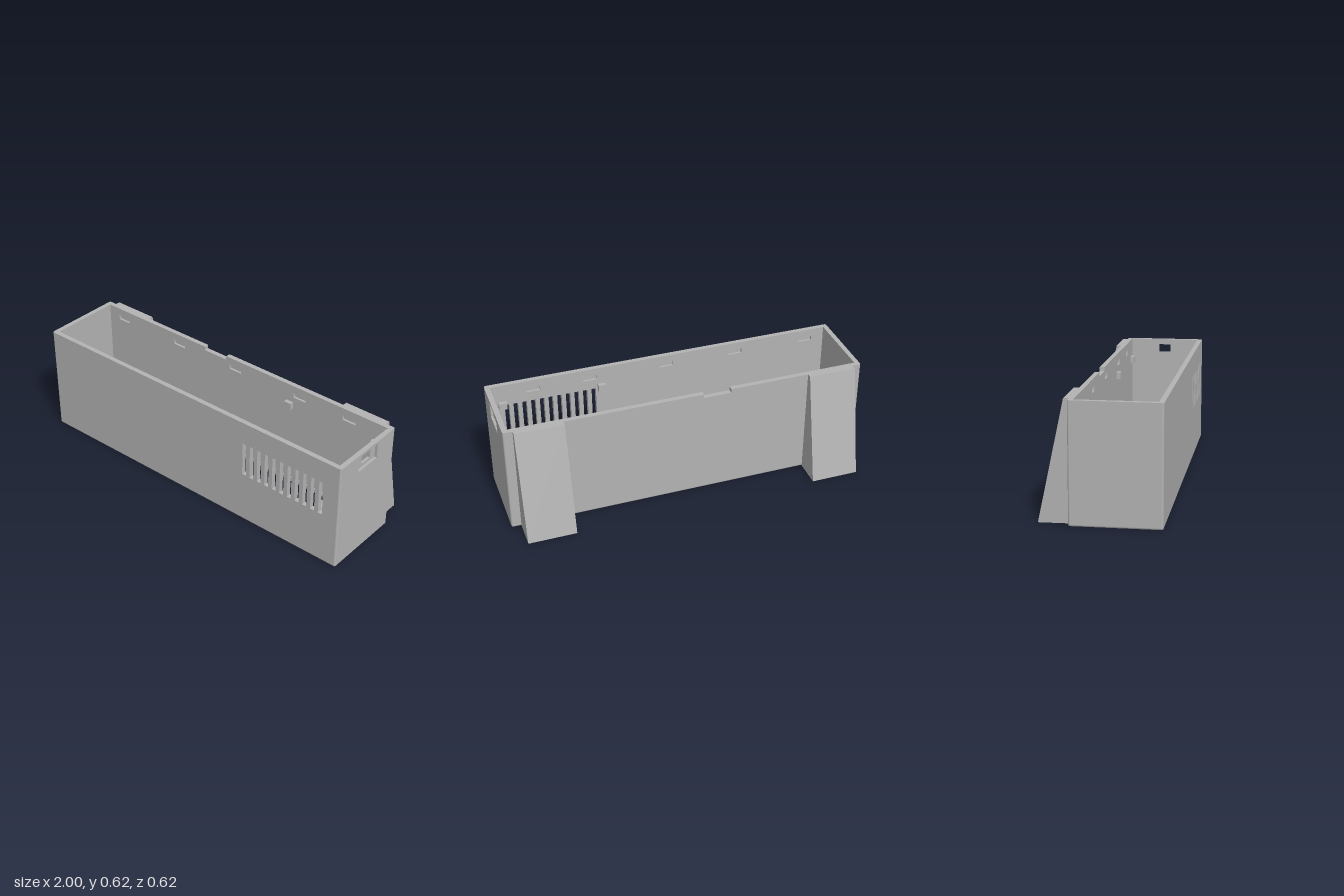
import * as THREE from 'three';

const W = 1, H = 0.617, ZB = -0.152, ZF = 0.309; // outer shell limits
const T = 0.027, SKIN = 0.014, R = 0.01;         // wall, layer and edge radius

const rectPoints = ([u0, v0, u1, v1]) => [[u0, v0], [u1, v0], [u1, v1], [u0, v1]];

// Flat plate from an outline, with rectangular holes
function plate(outline, holes, depth) {
  const toVec = (list) => list.map(([u, v]) => new THREE.Vector2(u, v));
  const shape = new THREE.Shape(toVec(outline));
  for (const h of holes) shape.holes.push(new THREE.Path(toVec(rectPoints(h).reverse())));
  return new THREE.ExtrudeGeometry(shape, { depth, bevelEnabled: false });
}

// Rounded bottom edge: a rounded rectangle growing outward as it rises
function bottomEdge() {
  const rows = 6, steps = 5, pos = [], index = [];
  const corners = [[W - R, ZF - R], [R - W, ZF - R], [R - W, ZB + R], [W - R, ZB + R]];
  const n = corners.length * (steps + 1);
  for (let k = 0; k <= rows; k++) {
    const t = (k / rows) * Math.PI / 2, r = R * Math.sin(t);
    corners.forEach(([cx, cz], c) => {
      for (let s = 0; s <= steps; s++) {
        const a = (c + s / steps) * Math.PI / 2;
        pos.push(cx + r * Math.cos(a), R - R * Math.cos(t), cz + r * Math.sin(a));
      }
    });
  }
  for (let k = 0; k < rows; k++) {
    for (let i = 0; i < n; i++) {
      const a = k * n + i, b = k * n + (i + 1) % n;
      index.push(a, a + n, b, b, a + n, b + n);
    }
  }
  const g = new THREE.BufferGeometry();
  g.setAttribute('position', new THREE.Float32BufferAttribute(pos, 3));
  g.setIndex(index);
  g.computeVertexNormals();
  return g;
}

export function createModel() {
  const model = new THREE.Group();
  model.name = 'ventilatedHousing';
  const grey = new THREE.MeshStandardMaterial({ color: 0xb3b3b3 });
  grey.name = 'grey plastic';

  const add = (name, geometry, x = 0, y = 0, z = 0) => {
    const mesh = new THREE.Mesh(geometry, grey);
    mesh.name = name;
    mesh.position.set(x, y, z);
    model.add(mesh);
    return mesh;
  };
  const box = (name, x0, x1, y0, y1, z0, z1) =>
    add(name, new THREE.BoxGeometry(x1 - x0, y1 - y0, z1 - z0),
      (x0 + x1) / 2, (y0 + y1) / 2, (z0 + z1) / 2);

  // Latch pockets on the inside and vent slots through the front
  const pockets = [-0.86, -0.43, -0.02, 0.42, 0.74].map((x) => [x - 0.04, 0.547, x + 0.04, 0.573]);
  const vents = [];
  for (let i = 0; i < 11; i++) {
    const x = 0.39 + i * 0.0487;
    vents.push([x, 0.295, x + 0.025, 0.49]);
  }

  // Front wall in two layers
  const e = W - R;
  const frontOutline = rectPoints([-e, R, e, H]);
  add('frontWallOuter', plate(frontOutline, vents, SKIN), 0, 0, ZF - SKIN);
  add('frontWallInner', plate(frontOutline, [...vents, ...pockets], T - SKIN), 0, 0, ZF - T);

  // Back wall with a shallow notch in its rim
  const notch = H - 0.022;
  const backOutline = [[-e, R], [e, R], [e, H], [-0.085, H], [-0.085, notch],
    [-0.24, notch], [-0.24, H], [-e, H]];
  add('backWallOuter', plate(backOutline, [], SKIN), 0, 0, ZB);
  add('backWallInner', plate(backOutline, pockets, T - SKIN), 0, 0, ZB + SKIN);

  // Side walls; the left one has a recessed socket opening
  const sideOutline = rectPoints([ZB + R, R, ZF - R, H]);
  const side = (name, holes, depth, x) => add(name, plate(sideOutline, holes, depth).rotateY(-Math.PI / 2), x);
  side('leftWallOuter', [[0, 0.518, 0.158, 0.603]], SKIN, W);
  side('leftWallInner', [[0.043, 0.537, 0.115, 0.585]], T - SKIN, W - SKIN);
  side('rightWall', [], T, T - W);

  // Rounded vertical corners and bottom edge
  for (const x of [-e, e]) {
    for (const z of [ZB + R, ZF - R]) {
      add('roundedCorner', new THREE.CylinderGeometry(R, R, H - R, 20), x, (H + R) / 2, z);
    }
  }
  add('roundedBottomEdge', bottomEdge());

  // Floor with a long opening and a grille at one end
  const floorHoles = [[-0.965, -0.117, 0.64, 0.273]];
  for (let i = 0; i < 7; i++) {
    const x = 0.682 + i * 0.0395;
    floorHoles.push([x, -0.062, x + 0.021, 0.21]);
  }
  const floorDepth = 0.022;
  add('floor', plate(rectPoints([-e, ZB + R, e, ZF - R]), floorHoles, floorDepth).rotateX(Math.PI / 2),
    0, floorDepth, 0);

  // Support pegs and low retaining ribs on the inner walls
  const zi = ZB + T, zo = ZF - T;
  for (const x of [0.357, 0.913]) {
    box('backPeg', x - 0.022, x + 0.022, 0.475, 0.515, zi - 0.004, zi + 0.022);
    box('frontPeg', x - 0.022, x + 0.022, 0.475, 0.515, zo - 0.022, zo + 0.004);
  }
  box('backRib', 0.65, 0.672, 0.01, 0.1, zi - 0.004, zi + 0.05);
  box('frontRib', 0.65, 0.672, 0.01, 0.1, zo - 0.05, zo + 0.004);

  // Sloping rear wedge supports
  const wedge = [[ZB + 0.01, 0.001], [ZB + 0.01, H], [-0.178, H], [-0.309, 0]];
  for (const x of [-0.685, 0.947]) {
    add('rearWedge', plate(wedge, [], 0.266).rotateY(-Math.PI / 2), x);
  }
  return model;
}
